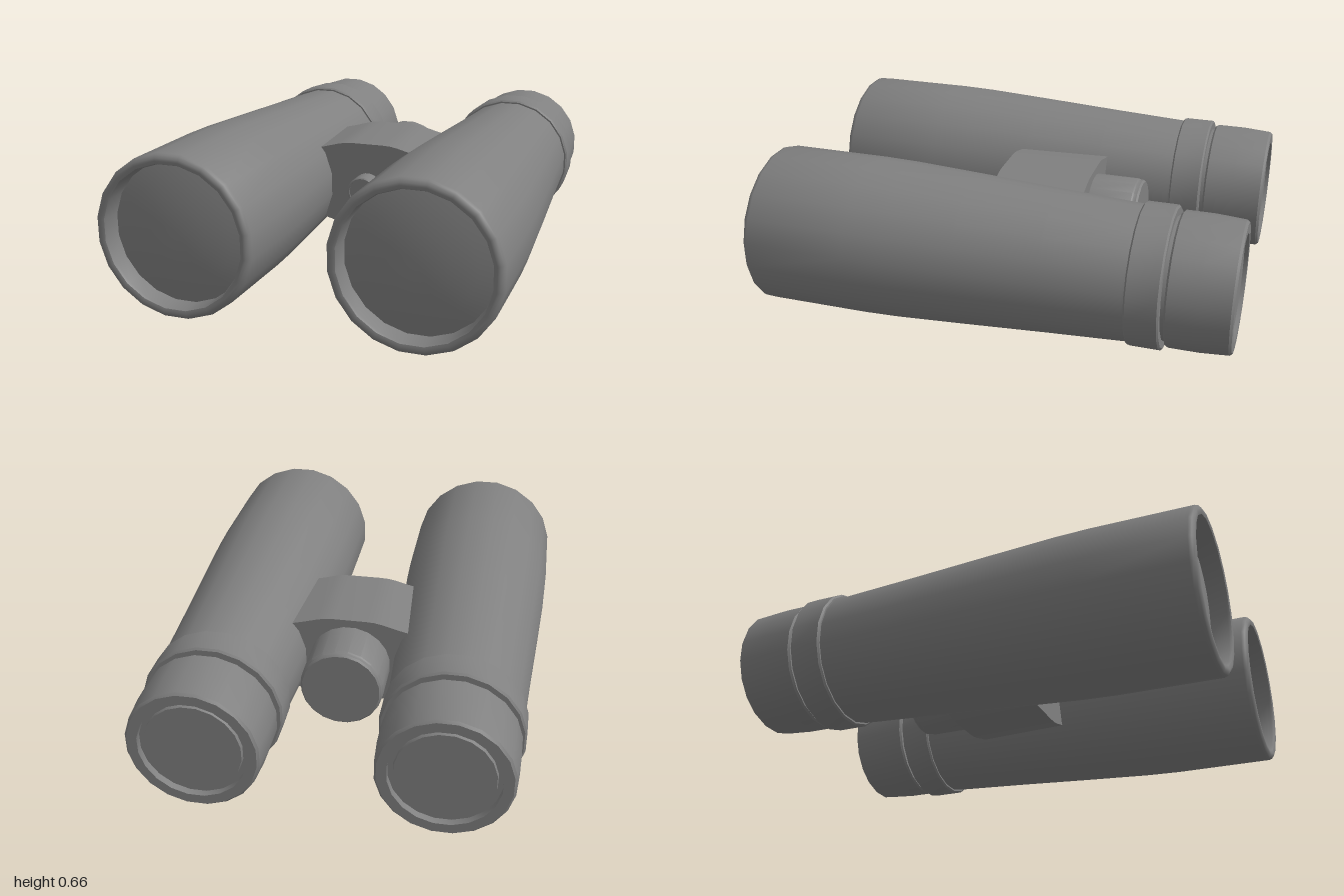
import * as THREE from 'three';
import { toCreasedNormals } from 'three/addons/utils/BufferGeometryUtils.js';

const SIDES = 20;
const AXIS_X = 0.483, AXIS_Y = 0.332;
const material = new THREE.MeshStandardMaterial({ color: 0x808080 });

// Turned part along z; profile is [radius across flats, z] from back to front
function turned(name, profile) {
  const scale = 1 / Math.cos(Math.PI / SIDES);
  const points = profile.map(([r, z]) => new THREE.Vector2(r * scale, z));
  const lathe = new THREE.LatheGeometry(points, SIDES, Math.PI / SIDES).rotateX(Math.PI / 2);
  const mesh = new THREE.Mesh(toCreasedNormals(lathe, 0.6), material);
  mesh.name = name;
  return mesh;
}

function createTube(name) {
  const tube = new THREE.Group();
  tube.name = name;
  tube.add(
    // Tapering body with a rounded, hollow front rim
    turned('barrel', [
      [0.274, -0.592], [0.275, -0.58], [0.292, -0.25], [0.312, 0.1], [0.328, 0.4], [0.332, 0.55],
      [0.332, 0.975], [0.327, 0.989], [0.316, 0.998], [0.305, 1], [0.293, 0.996], [0.289, 0.985], [0.289, 0.9],
    ]),
    // Domed front lens
    turned('objectiveLens', [[0.29, 0.91], [0.22, 0.927], [0.12, 0.941], [0, 0.947]]),
    turned('focusRing', [
      [0, -0.727], [0.28, -0.727], [0.288, -0.72], [0.288, -0.597], [0.281, -0.59], [0, -0.59],
    ]),
    turned('grooveCollar', [[0.25, -0.77], [0.25, -0.7]]),
    // Eyecup with a recessed rear opening
    turned('eyecup', [
      [0.215, -0.97], [0.215, -1], [0.255, -1], [0.264, -0.99], [0.272, -0.87],
      [0.272, -0.75], [0.265, -0.742], [0, -0.742],
    ]),
    turned('eyepieceLens', [[0, -0.985], [0.192, -0.985], [0.195, -0.97], [0.22, -0.97]]),
  );
  return tube;
}

// Bridge whose curved top and bottom run into both barrels
function createBridge() {
  const half = [[0.27, 0.155], [0.2, 0.172], [0.14, 0.189], [0.105, 0.196], [0.07, 0.198]];
  const outline = [
    ...half,
    ...half.map(([x, y]) => [-x, y]).reverse(),
    ...half.map(([x, y]) => [-x, -y]),
    ...half.map(([x, y]) => [x, -y]).reverse(),
  ];
  const shape = new THREE.Shape(outline.map(([x, y]) => new THREE.Vector2(x, y)));
  const geometry = new THREE.ExtrudeGeometry(shape, { depth: 0.405, bevelEnabled: false });
  geometry.translate(0, 0, -0.29);
  // Slight taper towards the front
  const p = geometry.attributes.position;
  for (let i = 0; i < p.count; i++) if (p.getZ(i) > 0) p.setY(i, p.getY(i) * 0.96);
  const mesh = new THREE.Mesh(toCreasedNormals(geometry, 0.5), material);
  mesh.name = 'bridge';
  mesh.position.y = 0.342;
  return mesh;
}

export function createModel() {
  const model = new THREE.Group();
  model.name = 'binoculars';

  for (const side of [1, -1]) {
    const tube = createTube(side > 0 ? 'leftTube' : 'rightTube');
    tube.position.set(side * AXIS_X, AXIS_Y, 0);
    model.add(tube);
  }

  model.add(createBridge());

  // Focus knob behind the bridge and hinge pin in front
  const knob = turned('focusKnob', [
    [0, -0.505], [0.162, -0.505], [0.169, -0.497], [0.169, -0.482], [0.173, -0.476], [0.173, -0.28],
  ]);
  const pin = turned('hingePin', [
    [0.067, 0.1], [0.067, 0.19], [0.062, 0.195], [0.057, 0.195], [0.057, 0.19], [0, 0.19],
  ]);
  for (const part of [knob, pin]) {
    part.position.y = AXIS_Y;
    model.add(part);
  }
  return model;
}
